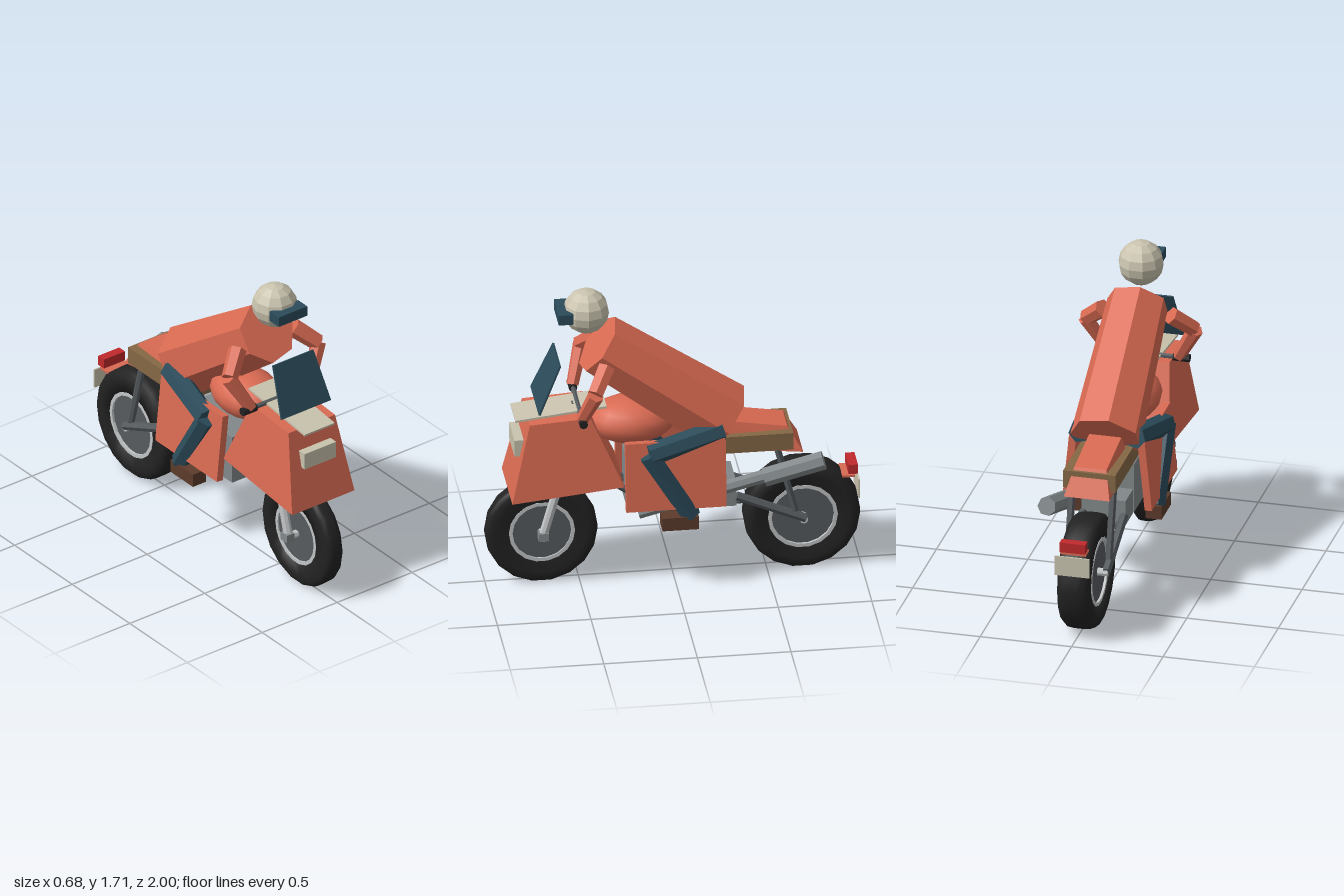
import * as THREE from 'three';

const mat = (name, color) => Object.assign(new THREE.MeshStandardMaterial({ color }), { name });
const M = {
  orange: mat('orange', 0xd96a52), teal: mat('teal', 0x2b4b5a), cream: mat('cream', 0xc9c3ae),
  black: mat('black', 0x222222), grey: mat('grey', 0x82888a), silver: mat('silver', 0xc2c5c6),
  dark: mat('dark grey', 0x565b5f), tan: mat('tan', 0x856846), brown: mat('brown', 0x5c3b2b),
  red: mat('red', 0xc0292c),
};

// Faceted normals
function flat(geo) {
  const g = geo.index ? geo.toNonIndexed() : geo;
  g.computeVertexNormals();
  return g;
}

export function createModel() {
  const root = new THREE.Group();
  root.name = 'motorcycleWithRider';

  const add = (name, geo, material, parent = root) => {
    const m = new THREE.Mesh(geo, material);
    m.name = name;
    parent.add(m);
    return m;
  };
  const box = (name, material, size, pos, parent) => {
    const m = add(name, new THREE.BoxGeometry(...size), material, parent);
    m.position.set(...pos);
    return m;
  };
  // Straight faceted tube between two points, with one corner towards +x
  const tube = (name, material, a, b, r0, r1 = r0, sides = 6) => {
    const A = new THREE.Vector3(...a), B = new THREE.Vector3(...b);
    const g = new THREE.CylinderGeometry(r1, r0, A.distanceTo(B), sides).rotateY(Math.PI / 2);
    const m = add(name, flat(g), material);
    m.position.copy(A).add(B).multiplyScalar(0.5);
    m.quaternion.setFromUnitVectors(new THREE.Vector3(0, 1, 0), B.sub(A).normalize());
    return m;
  };
  // Solid from a side profile of [z, y, half width], ordered rear-bottom, rear-top, front-top, front-bottom
  const prism = (name, material, pts) => {
    const L = pts.map(([z, y, w]) => [w, y, z]), R = pts.map(([z, y, w]) => [-w, y, z]);
    const v = [], n = pts.length;
    const tri = (...p) => p.forEach((q) => v.push(...q));
    for (let i = 1; i < n - 1; i++) {
      tri(L[0], L[i], L[i + 1]);
      tri(R[0], R[i + 1], R[i]);
    }
    for (let i = 0; i < n; i++) {
      const j = (i + 1) % n;
      tri(L[i], R[i], R[j]);
      tri(L[i], R[j], L[j]);
    }
    const g = new THREE.BufferGeometry();
    g.setAttribute('position', new THREE.Float32BufferAttribute(v, 3));
    g.computeVertexNormals();
    return add(name, g, material);
  };

  // Wheels: tyre, bright rim, disc and axle
  const wheel = (name, z, r, rimR, w) => {
    const group = new THREE.Group();
    group.name = name;
    group.position.set(0, r, z);
    root.add(group);
    const lathe = (pts) => new THREE.LatheGeometry(pts.map((p) => new THREE.Vector2(...p)), 18).rotateZ(Math.PI / 2);
    add('tyre', lathe([[rimR, -w * 0.8], [r * 0.8, -w], [r * 0.92, -w * 0.95], [r * 0.985, -w * 0.7], [r, -w * 0.3],
      [r, w * 0.3], [r * 0.985, w * 0.7], [r * 0.92, w * 0.95], [r * 0.8, w], [rimR, w * 0.8], [rimR, -w * 0.8]]),
    M.black, group);
    const k = rimR - 0.015;
    add('rim', flat(lathe([[k, -w * 0.85], [rimR + 0.005, -w * 0.85], [rimR + 0.005, w * 0.85], [k, w * 0.85], [k, -w * 0.85]])),
      M.silver, group);
    add('disc', flat(new THREE.CylinderGeometry(k + 0.003, k + 0.003, w * 1.4, 18).rotateZ(Math.PI / 2)), M.dark, group);
    add('axle', flat(new THREE.CylinderGeometry(0.022, 0.022, 0.24, 8).rotateZ(Math.PI / 2)), M.silver, group);
  };
  wheel('frontWheel', 0.7, 0.302, 0.172, 0.055);
  wheel('rearWheel', -0.69, 0.312, 0.182, 0.09);

  // Front fairing, lamp, dash and windscreen
  prism('frontFairing', M.orange, [[0.28, 0.625, 0.205], [0.455, 1.025, 0.155], [0.78, 1.005, 0.155], [0.88, 0.565, 0.208]]);
  box('headlight', M.cream, [0.21, 0.095, 0.08], [0, 0.845, 0.815]);
  const dash = box('dashPlate', M.cream, [0.2, 0.012, 0.49], [0, 1.03, 0.605]);
  dash.rotation.x = 0.11;
  prism('windscreen', M.teal, [[0.724, 1.065, 0.165], [0.61, 1.335, 0.135], [0.619, 1.338, 0.135], [0.734, 1.07, 0.165]]);
  tube('handlebar', M.dark, [-0.18, 1.04, 0.505], [0.18, 1.04, 0.505], 0.014);
  tube('steeringStem', M.dark, [0, 0.85, 0.56], [0, 1.04, 0.51], 0.03);

  // Tank, seat and tail
  const tank = add('fuelTank', new THREE.SphereGeometry(1, 16, 10), M.orange);
  tank.scale.set(0.17, 0.125, 0.235);
  tank.position.set(0, 0.93, 0.215);
  box('seatBase', M.tan, [0.285, 0.098, 0.5], [0, 0.802, -0.38]);
  prism('tailCowl', M.orange, [[-0.685, 0.725, 0.125], [-0.605, 0.867, 0.088], [-0.28, 0.92, 0.088], [-0.28, 0.77, 0.125]]);

  // Engine
  box('engineBlock', M.grey, [0.25, 0.28, 0.42], [0, 0.57, 0.04]);
  box('gearbox', M.grey, [0.24, 0.14, 0.2], [0, 0.495, -0.23]);

  // Exhaust on the left side
  tube('exhaustPipe', M.grey, [0.15, 0.44, 0.2], [0.17, 0.62, -0.47], 0.036, 0.036, 7);
  tube('muffler', M.grey, [0.165, 0.61, -0.47], [0.192, 0.705, -0.785], 0.052, 0.052, 7);

  // Rear light and plate
  box('rearBracket', M.orange, [0.14, 0.012, 0.07], [0, 0.53, -0.935]);
  box('rearLight', M.red, [0.14, 0.055, 0.05], [0, 0.57, -0.96]);
  box('rearPlate', M.cream, [0.19, 0.11, 0.009], [0, 0.465, -0.988]);

  // Mirrored parts
  for (const s of [1, -1]) {
    const panel = box('sidePanel', M.orange, [0.04, 0.39, 0.535], [s * 0.207, 0.685, 0.008]);
    panel.rotation.z = s * 0.1;
    tube('forkLeg', M.silver, [s * 0.095, 0.31, 0.7], [s * 0.095, 0.92, 0.53], 0.025, 0.025, 8);
    box('forkFoot', M.grey, [0.05, 0.045, 0.055], [s * 0.1, 0.308, 0.7]);
    tube('swingArm', M.dark, [s * 0.112, 0.48, -0.33], [s * 0.112, 0.32, -0.7], 0.024);
    tube('rearShock', M.dark, [s * 0.112, 0.76, -0.545], [s * 0.112, 0.37, -0.645], 0.02);
    tube('frameDownTube', M.dark, [s * 0.07, 0.65, 0.42], [s * 0.07, 0.5, 0.2], 0.018);
    tube('frameRail', M.dark, [s * 0.08, 0.41, 0.1], [s * 0.08, 0.435, -0.38], 0.016);
    tube('grip', M.black, [s * 0.165, 1.04, 0.505], [s * 0.255, 1.04, 0.505], 0.023, 0.023, 8);

    // Rider limbs
    tube('upperArm', M.orange, [s * 0.185, 1.34, 0.375], [s * 0.295, 1.24, 0.45], 0.05, 0.045);
    tube('forearm', M.orange, [s * 0.3, 1.24, 0.445], [s * 0.195, 1.045, 0.505], 0.044, 0.034);
    tube('thigh', M.teal, [s * 0.15, 0.905, -0.25], [s * 0.215, 0.815, 0.15], 0.062, 0.06);
    tube('shin', M.teal, [s * 0.215, 0.82, 0.155], [s * 0.215, 0.44, -0.075], 0.056, 0.056);
    box('boot', M.brown, [0.088, 0.075, 0.195], [s * 0.216, 0.412, -0.012]);
  }

  // Rider body and helmet
  tube('torso', M.orange, [0, 0.9, -0.28], [0, 1.39, 0.395], 0.195, 0.168, 7);
  const helmet = add('helmet', flat(new THREE.SphereGeometry(0.123, 10, 8)), M.cream);
  helmet.position.set(0, 1.592, 0.458);
  box('visor', M.teal, [0.19, 0.058, 0.08], [0, 1.592, 0.577]);

  return root;
}
